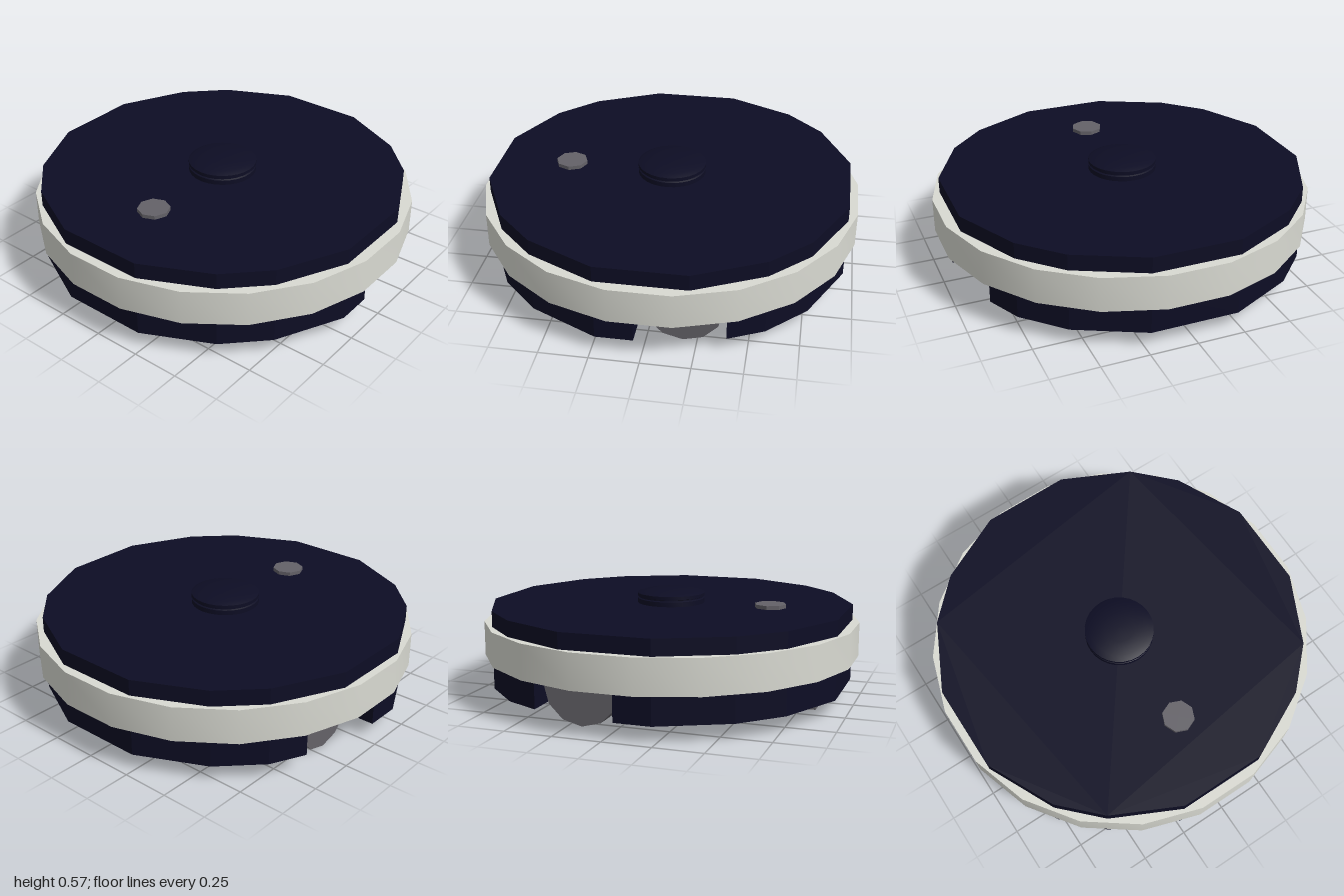
import * as THREE from 'three';
import { toCreasedNormals } from 'three/addons/utils/BufferGeometryUtils.js';

const material = (name, color, extra = {}) => {
  const m = new THREE.MeshStandardMaterial({ color, ...extra });
  m.name = name;
  return m;
};

export function createModel() {
  const model = new THREE.Group();
  const navy = material('navyPlastic', 0x0d0d24, { side: THREE.DoubleSide });
  const white = material('offWhiteBumper', 0xd9dad2);
  const grey = material('greyRubber', 0x646268);
  const CX = -0.008; // small sideways offset of the body

  const add = (name, geometry, mat, x = 0, y = 0, z = 0) => {
    const mesh = new THREE.Mesh(geometry, mat);
    mesh.name = name;
    mesh.position.set(x, y, z);
    model.add(mesh);
    return mesh;
  };

  // Extrudes an outline given as [x, z] pairs upward from y = 0
  const slab = (outline, height, hole) => {
    const toVec = ([x, z]) => new THREE.Vector2(x, -z);
    const shape = new THREE.Shape(outline.map(toVec));
    if (hole) shape.holes.push(new THREE.Path(hole.map(toVec)));
    const g = new THREE.ExtrudeGeometry(shape, { depth: height, bevelEnabled: false });
    return g.rotateX(-Math.PI / 2);
  };

  // Right half outlines, from back to front, then mirrored to the left
  const mirrored = (half) => [...half, ...half.map(([x, z]) => [-x, z]).reverse()];
  const back = [[0.23, -0.945], [0.58, -0.775], [0.775, -0.58]];
  const front = [[0.945, 0.23], [0.775, 0.58], [0.58, 0.775], [0.23, 0.945]];
  const upperOutline = mirrored([...back, [0.945, -0.23], ...front]);
  const lowerOutline = mirrored([
    ...back, [0.862, -0.4], [0.61, -0.4], [0.61, 0.04], [0.945, 0.04], ...front,
  ]);
  const brushSlot = [[-0.46, 0.2], [0.46, 0.2], [0.46, 0.45], [-0.46, 0.45]];

  // Body: base with wheel wells and brush slot, closed by the upper shell
  add('lowerBody', slab(lowerOutline, 0.21, brushSlot), navy, CX, 0.09);
  add('upperBody', slab(upperOutline, 0.2), navy, CX, 0.3);

  // Bumper band around the body
  const band = [[0.9, 0.235], [1.005, 0.235], [1.005, 0.417], [0.9, 0.417], [0.9, 0.235]]
    .map(([r, y]) => new THREE.Vector2(r, y));
  add('bumperRing', toCreasedNormals(
    new THREE.LatheGeometry(band, 20, Math.PI / 20), 0.5), white);

  // Round sensor turret with a groove and a shallow dome
  const turret = [[0.18, 0], [0.18, 0.026], [0.172, 0.03], [0.172, 0.035], [0.181, 0.038],
    [0.181, 0.055], [0.15, 0.066], [0.08, 0.074], [0, 0.077]]
    .map(([r, y]) => new THREE.Vector2(r, y));
  add('sensorTurret', toCreasedNormals(
    new THREE.LatheGeometry(turret, 28), 0.5), navy, -0.01, 0.499);

  // Power button
  const button = new THREE.CylinderGeometry(0.084, 0.084, 0.03, 8).toNonIndexed();
  button.computeVertexNormals();
  add('powerButton', button, grey, -0.01, 0.505, 0.55);

  // Drive wheels
  for (const [name, x] of [['leftWheel', 0.72], ['rightWheel', -0.74]]) {
    const wheel = new THREE.CylinderGeometry(0.2, 0.2, 0.14, 12).rotateZ(Math.PI / 2);
    add(name, toCreasedNormals(wheel, 0.6), grey, x, 0.208, -0.18);
  }

  // Front support block
  add('frontSupport', new THREE.BoxGeometry(0.3, 0.1, 0.155), grey, -0.01, 0.06, 0.755);

  // Brush roller: eight-lobed bar, twisted between its two ends
  const roller = new THREE.CylinderGeometry(0.11, 0.11, 0.87, 16, 1);
  const p = roller.attributes.position;
  for (let i = 0; i < p.count; i++) {
    const r = Math.hypot(p.getX(i), p.getZ(i));
    if (r < 0.01) continue;
    const a = Math.atan2(p.getZ(i), p.getX(i));
    const lobe = Math.round(a / (Math.PI / 8)) % 2 !== 0;
    const radius = lobe ? 0.11 : 0.07;
    const twist = p.getY(i) > 0 ? Math.PI / 3 - Math.PI / 12 : -Math.PI / 3 + Math.PI / 12;
    p.setXYZ(i, radius * Math.cos(a + twist), p.getY(i), radius * Math.sin(a + twist));
  }
  const brush = roller.rotateZ(Math.PI / 2).toNonIndexed();
  brush.computeVertexNormals();
  add('brushRoller', brush, navy, -0.008, 0.138, 0.325);

  return model;
}
